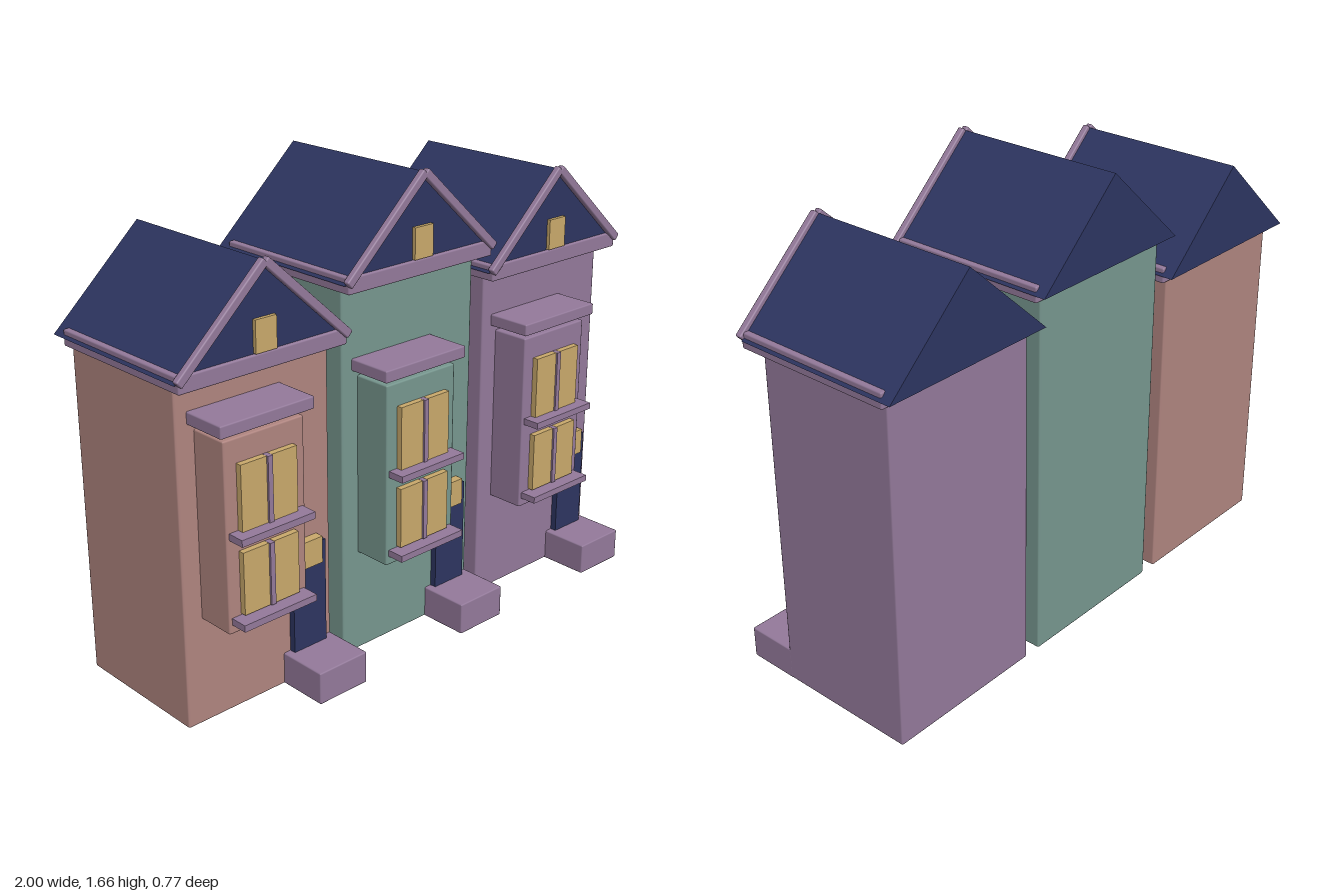
import * as THREE from 'three';
import { RoundedBoxGeometry } from 'three/addons/geometries/RoundedBoxGeometry.js';

function material(name, color) {
  const m = new THREE.MeshStandardMaterial({ color });
  m.name = name;
  return m;
}

const WALL_FRONT = 0.185;

export function createModel() {
  const pink = material('pink wall', 0xb08580);
  const teal = material('teal wall', 0x77978f);
  const purple = material('purple trim', 0x947a9b);
  const navy = material('navy roof', 0x2d3561);
  const gold = material('gold glass', 0xc9a96b);

  // Box given by its limits; a bevel softens the edges
  function block(parent, name, mat, [x0, x1], [y0, y1], [z0, z1], bevel = 0) {
    const w = x1 - x0, h = y1 - y0, d = z1 - z0;
    const geo = bevel
      ? new RoundedBoxGeometry(w, h, d, 1, bevel)
      : new THREE.BoxGeometry(w, h, d);
    const mesh = new THREE.Mesh(geo, mat);
    mesh.name = name;
    mesh.position.set((x0 + x1) / 2, (y0 + y1) / 2, (z0 + z1) / 2);
    parent.add(mesh);
    return mesh;
  }

  function addRoof(house, top) {
    const half = 0.335, rise = 0.31, base = top + 0.03;
    const shape = new THREE.Shape();
    shape.moveTo(-half, base);
    shape.lineTo(half, base);
    shape.lineTo(0, base + rise);
    shape.closePath();
    const geo = new THREE.ExtrudeGeometry(shape, { depth: 0.625, bevelEnabled: false });
    geo.translate(0, 0, -0.385);
    const roof = new THREE.Mesh(geo, navy);
    roof.name = 'roof';
    house.add(roof);

    // Cornice pokes through the roof along the eaves
    block(house, 'cornice', purple, [-0.326, 0.326], [top, top + 0.056], [-0.345, 0.25], 0.006);

    // Sloping boards edging the gable
    const length = Math.hypot(half, rise) - 0.006;
    for (const side of [-1, 1]) {
      const board = new THREE.Mesh(new RoundedBoxGeometry(length, 0.03, 0.024, 1, 0.005), purple);
      board.name = side < 0 ? 'rightGableBoard' : 'leftGableBoard';
      board.position.set(side * (half / 2 - 0.002), base + rise / 2 + 0.002, 0.25);
      board.rotation.z = -side * Math.atan2(rise, half);
      house.add(board);
    }
    block(house, 'atticWindow', gold, [-0.041, 0.041], [top + 0.058, top + 0.165], [0.235, 0.253]);
  }

  function addBay(house, wall) {
    const bay = new THREE.Group();
    bay.name = 'bayWindow';
    bay.position.x = -0.076;
    house.add(bay);
    block(bay, 'bayBody', wall, [-0.155, 0.155], [0.37, 1.01], [WALL_FRONT - 0.02, 0.323], 0.006);
    block(bay, 'bayHood', purple, [-0.18, 0.18], [1.03, 1.072], [WALL_FRONT - 0.02, 0.347], 0.005);
    for (const [bottom, height, sill] of [[0.43, 0.212, 0.402], [0.71, 0.22, 0.688]]) {
      const rows = [bottom, bottom + height];
      block(bay, 'leftPane', gold, [0.01, 0.109], rows, [0.318, 0.344]);
      block(bay, 'rightPane', gold, [-0.109, -0.01], rows, [0.318, 0.344]);
      block(bay, 'mullion', purple, [-0.009, 0.009], rows, [0.318, 0.35]);
      block(bay, 'windowSill', purple, [-0.144, 0.144], [sill, sill + 0.023], [0.318, 0.385]);
    }
  }

  function addEntrance(house) {
    block(house, 'door', navy, [0.123, 0.262], [0.11, 0.487], [WALL_FRONT - 0.01, 0.208]);
    block(house, 'doorLight', gold, [0.146, 0.242], [0.412, 0.507], [WALL_FRONT - 0.01, 0.217]);
    block(house, 'doorStep', purple, [0.095, 0.3], [0, 0.115], [WALL_FRONT - 0.01, 0.366], 0.005);
  }

  const model = new THREE.Group();
  model.name = 'rowHouses';
  const houses = [
    ['rightHouse', -0.66, 1.157, pink],
    ['middleHouse', 0, 1.313, teal],
    ['leftHouse', 0.66, 1.218, purple],
  ];
  for (const [name, x, top, wall] of houses) {
    const house = new THREE.Group();
    house.name = name;
    house.position.x = x;
    model.add(house);
    block(house, 'walls', wall, [-0.3, 0.3], [0, top + 0.005], [-0.34, WALL_FRONT], 0.007);
    addRoof(house, top);
    addBay(house, wall);
    addEntrance(house);
  }
  return model;
}
